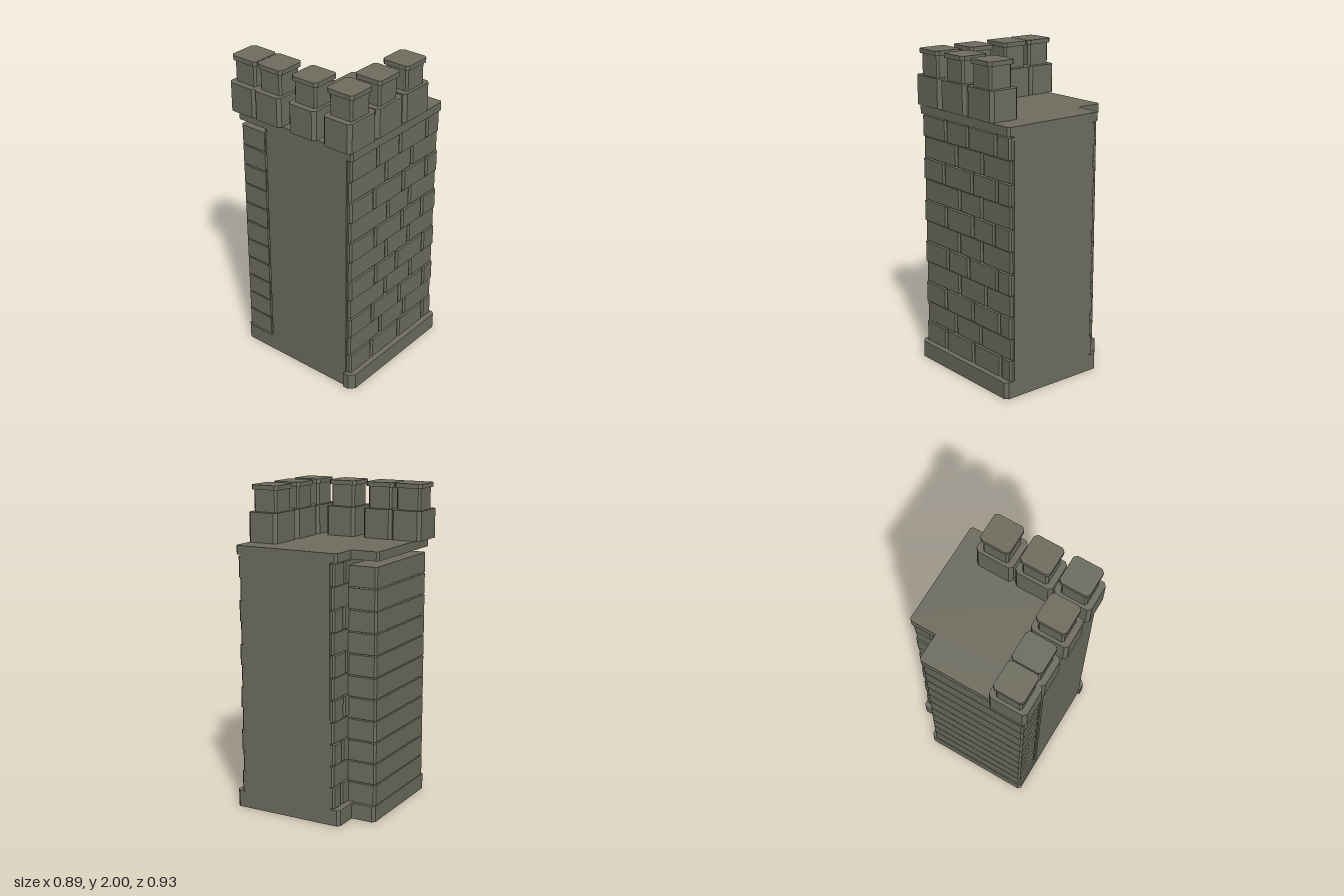
import * as THREE from 'three';

const stone = new THREE.MeshStandardMaterial({ color: 0x6e6d5f });
stone.name = 'stone';

// Upright prism from an [x, z] outline between two heights
function prism(name, outline, y0, y1) {
  const shape = new THREE.Shape(outline.map(([x, z]) => new THREE.Vector2(x, -z)));
  const geo = new THREE.ExtrudeGeometry(shape, { depth: y1 - y0, bevelEnabled: false });
  geo.rotateX(-Math.PI / 2);
  geo.translate(0, y0, 0);
  const mesh = new THREE.Mesh(geo, stone);
  mesh.name = name;
  return mesh;
}

// Rectangle with all four corners cut off
function cutRect(x0, x1, z0, z1, c) {
  return [[x0 + c, z0], [x1 - c, z0], [x1, z0 + c], [x1, z1 - c],
    [x1 - c, z1], [x0 + c, z1], [x0, z1 - c], [x0, z0 + c]];
}

// Back outline with a stepped-in corner on the left
function steppedBack(x0, x1, xStep, zStep, zBack, zIn, c) {
  return [[x0, zIn], [x1, zIn], [x1, zStep + c], [x1 - c, zStep], [xStep, zStep],
    [xStep, zBack + c], [xStep - c, zBack], [x0 + c, zBack], [x0, zBack + c]];
}

const FRONT = 0.4, BACK = -0.205;
const ROW0 = 0.106, ROW = 0.1355, ROWS = 11;

// Joint positions in each brick course, bottom to top
const joints = [
  [-0.2, 0.08, 0.345], [-0.105, 0.145], [-0.195, 0.08, 0.335], [-0.06, 0.2],
  [-0.17, 0.04, 0.315], [-0.06, 0.165], [-0.18, 0.085, 0.29], [-0.05, 0.165],
  [-0.195, 0.085, 0.32], [-0.075, 0.175], [-0.17, 0.045, 0.31],
];

// Courses of bricks on one wall; dir +1 faces front, -1 faces back
function brickWall(name, z, dir) {
  const wall = new THREE.Group();
  wall.name = name;
  joints.forEach((row, i) => {
    const y = ROW0 + i * ROW;
    const d = i % 2 ? 0.02 : 0.028;
    const edges = [-0.412, ...row, 0.439];
    for (let k = 0; k < edges.length - 1; k++) {
      const a = edges[k] + (k ? 0.003 : 0);
      const b = edges[k + 1] - (k < row.length ? 0.003 : 0);
      const c = 0.011;
      wall.add(prism('brick', [[a, z - dir * 0.005], [b, z - dir * 0.005], [b, z + dir * (d - c)],
        [b - c, z + dir * d], [a + c, z + dir * d], [a, z + dir * (d - c)]], y, y + ROW - 0.007));
    }
  });
  return wall;
}

// Two-tier block on the parapet
function merlon(x, z) {
  const g = new THREE.Group();
  g.name = 'merlon';
  const tier = (name, w, d, c, y0, y1) =>
    g.add(prism(name, cutRect(x - w, x + w, z - d, z + d, c), y0, y1));
  tier('merlonBase', 0.121, 0.1, 0.02, 1.655, 1.838);
  tier('merlonShaft', 0.083, 0.08, 0.012, 1.838, 1.975);
  tier('merlonCap', 0.096, 0.094, 0.018, 1.972, 2);
  return g;
}

export function createModel() {
  const model = new THREE.Group();
  model.name = 'tower';

  // Plain core, running the full height at both sides
  model.add(prism('core', [[-0.422, BACK], [0.443, BACK], [0.443, FRONT], [-0.422, FRONT]], 0, 1.655));

  // Plinth strips in front and behind
  model.add(prism('frontPlinth', [[-0.436, FRONT - 0.01], [0.443, FRONT - 0.01], [0.443, 0.443],
    [0.423, 0.463], [-0.4, 0.463], [-0.436, 0.43]], 0, 0.105));
  model.add(prism('backPlinth', steppedBack(-0.422, 0.443, 0.283, -0.268, -0.422, BACK + 0.01, 0.018), 0, 0.1));

  // Coping around the roof edge
  model.add(prism('frontCoping', [[-0.422, FRONT - 0.01], [0.444, FRONT - 0.01], [0.444, 0.427],
    [0.43, 0.44], [-0.408, 0.44], [-0.422, 0.427]], 1.6, 1.655));
  model.add(prism('backCoping', steppedBack(-0.422, 0.444, 0.267, -0.25, -0.428, BACK + 0.01, 0.014), 1.6, 1.655));

  // Brick courses
  model.add(brickWall('frontBricks', FRONT, 1));
  model.add(brickWall('backBricks', BACK, -1));

  // Stacked slabs with open joints on the back
  const slabs = new THREE.Group();
  slabs.name = 'backSlabs';
  for (let i = 0; i < ROWS; i++) {
    const y = 0.1 + i * 0.1337;
    slabs.add(prism('slab', steppedBack(-0.412, 0.26, 0.26, -0.3, -0.415, -0.228, 0.012)
      .filter((p, k) => k < 2 || k > 4), y, y + 0.1257));
  }
  model.add(slabs);

  // Merlons along the right side and the front
  [0.345, 0.089, -0.172, -0.366].forEach((z) => model.add(merlon(-0.327, z)));
  [-0.078, 0.178].forEach((x) => model.add(merlon(x, 0.345)));

  return model;
}
